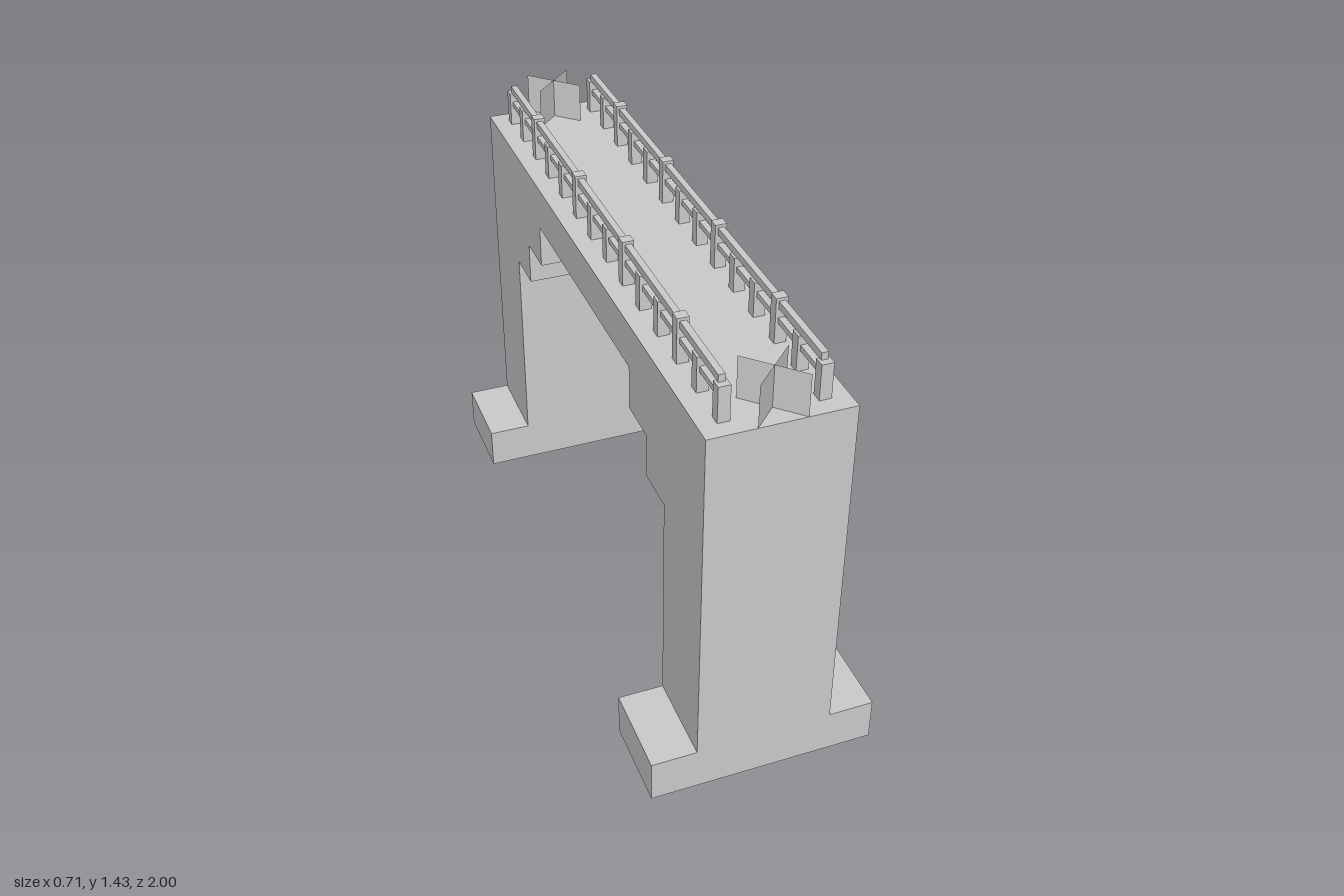
import * as THREE from 'three';
import { mergeGeometries } from 'three/addons/utils/BufferGeometryUtils.js';

const U = 1 / 14;                 // building module
const DECK = 18 * U, HALF = 3 * U; // deck height, half width of the bridge
const FOOT = 2 * U, FOOT_HALF = 5 * U;

// Quads swept across x along a path of [z, y] points
function strip(path, half) {
  const pos = [];
  for (let i = 0; i < path.length - 1; i++) {
    const [z0, y0] = path[i], [z1, y1] = path[i + 1];
    pos.push(half, y0, z0, half, y1, z1, -half, y1, z1);
    pos.push(half, y0, z0, -half, y1, z1, -half, y0, z0);
  }
  const g = new THREE.BufferGeometry();
  g.setAttribute('position', new THREE.Float32BufferAttribute(pos, 3));
  g.computeVertexNormals();
  return g;
}

// Position and normal only, so that all pieces can be merged
function plain(g) {
  const n = g.index ? g.toNonIndexed() : g;
  n.deleteAttribute('uv');
  return n;
}

export function createModel() {
  const model = new THREE.Group();
  const stone = new THREE.MeshStandardMaterial({ color: 0xcccccc, side: THREE.DoubleSide });
  stone.name = 'stone grey';

  function add(geometry, name, x = 0, y = 0, z = 0, parent = model) {
    const mesh = new THREE.Mesh(geometry, stone);
    mesh.name = name;
    mesh.position.set(x, y, z);
    parent.add(mesh);
    return mesh;
  }

  // Hollow bridge body with stepped arch, open at the foot of each pier
  const outer = [[1, FOOT], [1, DECK], [-1, DECK], [-1, FOOT]];
  const steps = [[10, 2], [10, 12], [8, 12], [8, 14], [6, 14], [6, 16]].map(([z, y]) => [z * U, y * U]);
  const arch = [
    ...steps.map(([z, y]) => [-z, y]),
    ...steps.slice().reverse(),
  ];
  const side = new THREE.ShapeGeometry(
    new THREE.Shape([...outer, ...arch].map(([z, y]) => new THREE.Vector2(z, y))));
  const body = [strip(outer, HALF), strip(arch, HALF)];
  // strip() also spans nothing between the two paths, leaving the pier bottoms open
  for (const s of [1, -1]) {
    body.push(side.clone().rotateY(s * Math.PI / 2).translate(s * HALF, 0, 0));
  }
  add(mergeGeometries(body.map(plain)), 'bridgeBody');

  // Hollow footings, open below
  for (const end of [1, -1]) {
    const zs = [end, end * 10 * U].sort((a, b) => b - a);
    const mid = (zs[0] + zs[1]) / 2;
    const parts = [
      strip([[zs[0], 0], [zs[0], FOOT]], FOOT_HALF),
      strip([[zs[1], FOOT], [zs[1], 0]], FOOT_HALF),
    ];
    for (const s of [1, -1]) {
      parts.push(new THREE.PlaneGeometry(4 * U, FOOT).rotateY(s * Math.PI / 2)
        .translate(s * FOOT_HALF, FOOT / 2, mid));
      parts.push(new THREE.PlaneGeometry(2 * U, 4 * U).rotateX(-Math.PI / 2)
        .translate(s * 4 * U, FOOT, mid));
    }
    add(mergeGeometries(parts.map(plain)), end > 0 ? 'frontFooting' : 'backFooting');
  }

  // Railings: short posts, four tall posts and two rails on each side
  const shortPost = new THREE.BoxGeometry(0.036, 0.112, 0.034);
  const tallPost = new THREE.BoxGeometry(0.036, 0.144, 0.034);
  const rail = new THREE.BoxGeometry(0.02, 0.023, 1.85);
  const lowRail = new THREE.BoxGeometry(0.02, 0.018, 1.85);
  for (const s of [1, -1]) {
    const railing = new THREE.Group();
    railing.name = s > 0 ? 'leftRailing' : 'rightRailing';
    railing.position.set(s * 2 * U, DECK, 0);
    model.add(railing);
    for (let i = 0; i < 14; i++) {
      const tall = i % 3 === 2;
      add(tall ? tallPost : shortPost, tall ? 'tallPost' : 'shortPost',
        0, tall ? 0.072 : 0.056, (2 * i - 13) * U, railing);
    }
    add(rail, 'topRail', 0, 0.1235, 0, railing);
    add(lowRail, 'lowerRail', 0, 0.074, 0, railing);
  }

  // Crossed upright panels at both ends of the deck
  const panel = new THREE.PlaneGeometry(2 * U * Math.SQRT2, 0.132);
  for (const end of [1, -1]) {
    for (const turn of [1, -1]) {
      add(panel, 'crossedPanel', 0, DECK + 0.066, end * 13 * U).rotation.y = turn * Math.PI / 4;
    }
  }

  return model;
}
